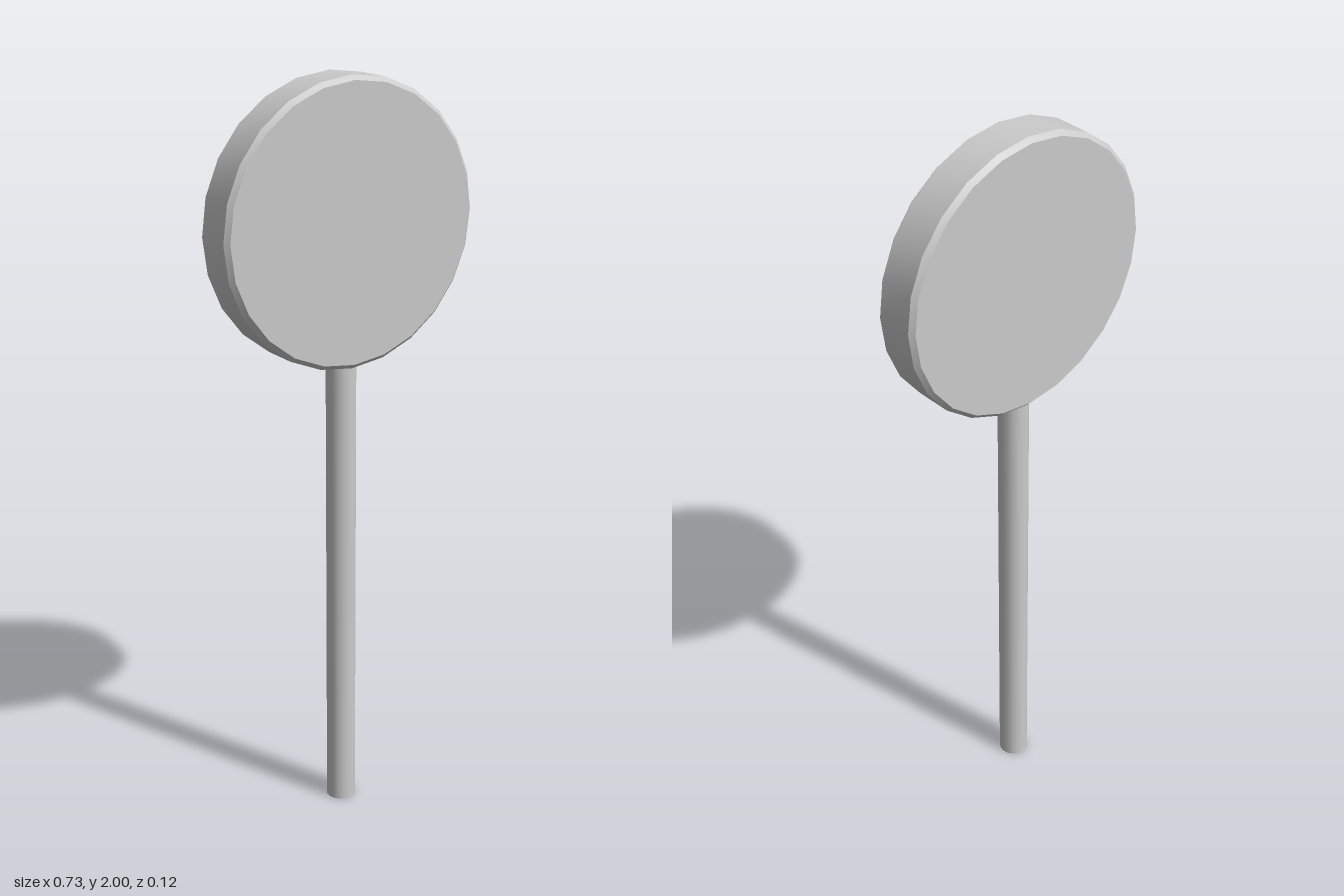
import * as THREE from 'three';
import { toCreasedNormals } from 'three/addons/utils/BufferGeometryUtils.js';

const RADIUS = 0.367, HALF_DEPTH = 0.062, BEVEL = 0.012;

export function createModel() {
  const group = new THREE.Group();
  const material = new THREE.MeshStandardMaterial({ color: 0xcccccc });

  // Round head: bevelled disc turned to face the front
  const profile = [
    [0, -HALF_DEPTH],
    [RADIUS - BEVEL, -HALF_DEPTH],
    [RADIUS, -HALF_DEPTH + BEVEL],
    [RADIUS, HALF_DEPTH - BEVEL],
    [RADIUS - BEVEL, HALF_DEPTH],
    [0, HALF_DEPTH],
  ].map(([x, y]) => new THREE.Vector2(x, y));
  const discGeometry = toCreasedNormals(new THREE.LatheGeometry(profile, 24), Math.PI / 6);
  discGeometry.rotateX(Math.PI / 2);
  const disc = new THREE.Mesh(discGeometry, material);
  disc.name = 'disc';
  disc.position.y = 2 - RADIUS;

  // Pole: runs from the ground just into the underside of the disc
  const poleHeight = 1.28;
  const pole = new THREE.Mesh(new THREE.CylinderGeometry(0.04, 0.04, poleHeight, 16), material);
  pole.name = 'pole';
  pole.position.y = poleHeight / 2;

  group.add(disc, pole);
  return group;
}
